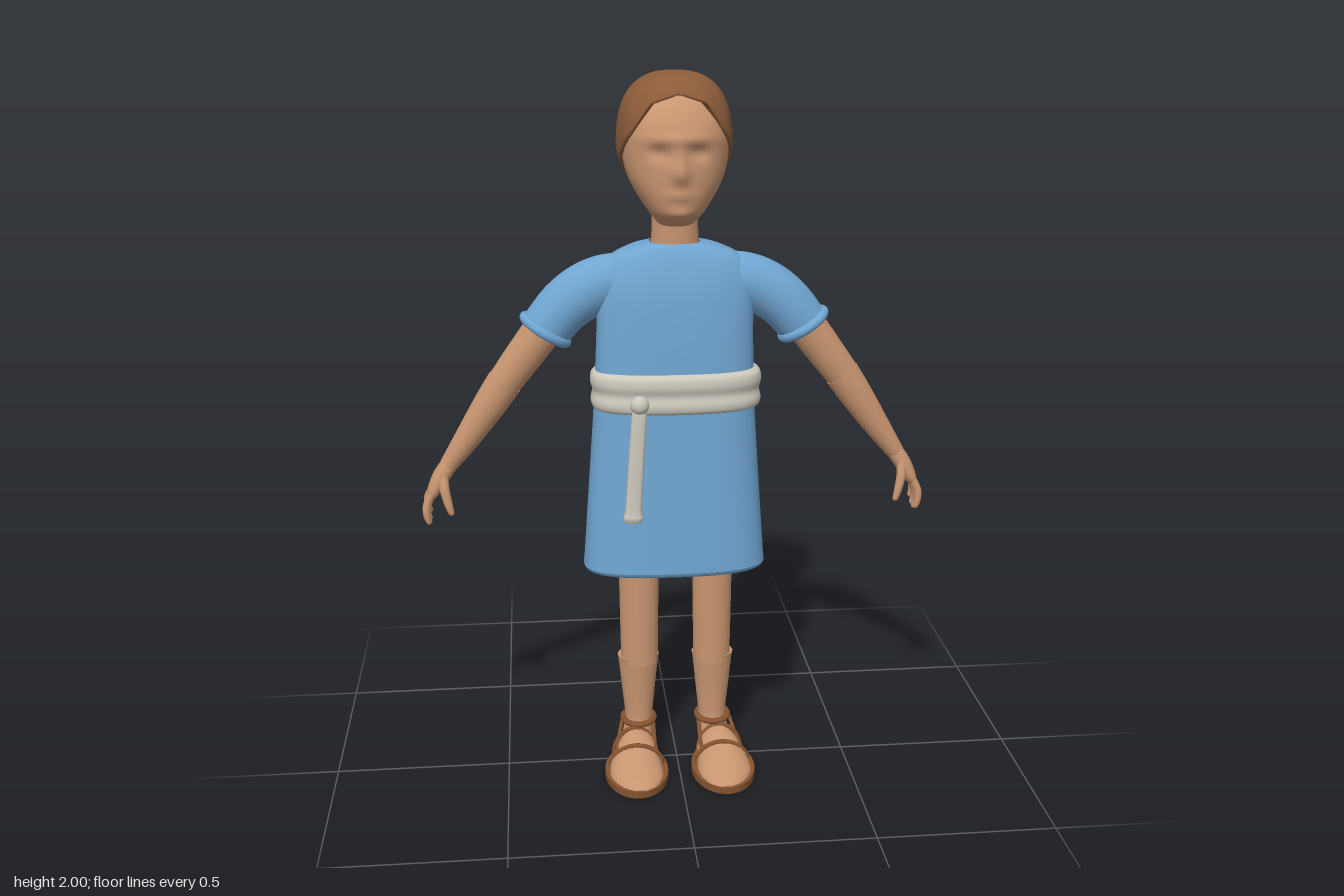
import * as THREE from 'three';

const mat = (name, color, side = THREE.FrontSide) => {
  const m = new THREE.MeshStandardMaterial({ color, side });
  m.name = name;
  return m;
};

// Smooth spline through rows of numbers
function spline(rows, steps) {
  const out = [];
  for (let i = 0; i < rows.length - 1; i++) {
    const [p, a, b, q] = [rows[Math.max(i - 1, 0)], rows[i], rows[i + 1], rows[Math.min(i + 2, rows.length - 1)]];
    for (let s = 0; s < steps; s++) {
      const t = s / steps;
      out.push(a.map((v, k) => v + 0.5 * t * (b[k] - p[k] + t * (2 * p[k] - 5 * v + 4 * b[k] - q[k]
        + t * (3 * (v - b[k]) + q[k] - p[k])))));
    }
  }
  out.push(rows[rows.length - 1]);
  return out;
}

const sup = (v, e) => Math.sign(v) * Math.abs(v) ** (2 / e);

// Loft through stations [x, y, z, radius across, radius along "axis"]
function loft(stations, { n = 24, steps = 4, exp = 2, axis = [0, 0, 1], caps = true, rule } = {}) {
  const rows = spline(stations, steps), pos = [], idx = [];
  const B = new THREE.Vector3(...axis), T = new THREE.Vector3(), N = new THREE.Vector3(), P = new THREE.Vector3();
  const centre = (i) => new THREE.Vector3(...rows[Math.min(Math.max(i, 0), rows.length - 1)].slice(0, 3));
  rows.forEach((r, i) => {
    T.subVectors(centre(i + 1), centre(i - 1));
    N.crossVectors(B, T).normalize();
    for (let j = 0; j < n; j++) {
      const a = (j / n) * Math.PI * 2;
      P.copy(centre(i)).addScaledVector(N, r[3] * sup(Math.cos(a), exp)).addScaledVector(B, r[4] * sup(Math.sin(a), exp));
      if (rule) rule(P);
      pos.push(P.x, P.y, P.z);
    }
  });
  for (let i = 0; i < rows.length - 1; i++) for (let j = 0; j < n; j++) {
    const a = i * n + j, b = i * n + (j + 1) % n;
    idx.push(a, b, a + n, b, b + n, a + n);
  }
  if (caps) for (const [i, flip] of [[0, true], [rows.length - 1, false]]) {
    const c = pos.length / 3;
    P.copy(centre(i));
    if (rule) rule(P);
    pos.push(P.x, P.y, P.z);
    for (let j = 0; j < n; j++) pos.push(...pos.slice((i * n + j) * 3, (i * n + j) * 3 + 3));
    for (let j = 0; j < n; j++) {
      const a = c + 1 + j, b = c + 1 + (j + 1) % n;
      idx.push(c, flip ? b : a, flip ? a : b);
    }
  }
  return finish(pos, idx);
}

function finish(pos, idx) {
  const g = new THREE.BufferGeometry();
  g.setAttribute('position', new THREE.Float32BufferAttribute(pos, 3));
  g.setIndex(idx);
  g.computeVertexNormals();
  return g;
}

// Hair cap running from the crown down to a hairline that drops toward the back
function hairGeometry() {
  const line = [[0, 1.945], [28, 1.922], [48, 1.85], [72, 1.79], [100, 1.735], [118, 1.67], [140, 1.65], [181, 1.645]];
  const lineY = (deg) => {
    const i = Math.max(1, line.findIndex((p) => p[0] >= deg));
    const [a, b] = [line[i - 1], line[i]];
    return THREE.MathUtils.lerp(a[1], b[1], (deg - a[0]) / (b[0] - a[0]));
  };
  const size = (y) => y > 1.8 ? Math.max(0, 1 - ((y - 1.8) / 0.2) ** 2.6) ** (1 / 2.6) : 1 - 0.39 * ((1.8 - y) / 0.15) ** 1.4;
  const n = 64, m = 18, pos = [], idx = [];
  for (let i = 0; i <= m + 2; i++) for (let j = 0; j < n; j++) {
    const a = (j / n) * Math.PI * 2, u = Math.min(i / m, 1);
    const low = lineY(180 - Math.abs(180 - (j / n) * 360));
    const y = 2 - (2 - low) * u ** 1.9;
    // the last two rows turn under the edge
    const k = size(y) * (1 + 0.008 * Math.cos(a * 12)) * (i > m ? 1 - 0.16 * (i - m) : 1);
    pos.push(0.156 * k * sup(Math.sin(a), 2.3), y + (i > m ? 0.006 * (i - m) : 0), -0.07 + 0.165 * k * sup(Math.cos(a), 2.3));
    if (i < m + 2) {
      const p = i * n + j, q = i * n + (j + 1) % n;
      idx.push(p, p + n, q, q, p + n, q + n);
    }
  }
  return finish(pos, idx);
}

export function createModel() {
  const model = new THREE.Group();
  const skin = mat('skin', 0xc89570), cloth = mat('blue cloth', 0x70a6d2, THREE.DoubleSide);
  const hair = mat('brown hair', 0x8c5c3a, THREE.DoubleSide), linen = mat('pale linen', 0xcbc7bb);
  const leather = mat('sandal leather', 0x85532f);
  const add = (name, geo, material, parent = model) => {
    const mesh = new THREE.Mesh(geo, material);
    mesh.name = name;
    parent.add(mesh);
    return mesh;
  };
  const bump = (x, y, cx, cy, w, h) => Math.exp(-(((x - cx) / w) ** 2) - ((y - cy) / h) ** 2);

  // Head with brow, eye sockets, nose, lips and chin shaped into the front
  add('head', loft([
    [0, 1.595, -0.045, 0.045, 0.05], [0, 1.625, -0.015, 0.066, 0.085], [0, 1.66, -0.022, 0.092, 0.112],
    [0, 1.72, -0.035, 0.126, 0.129], [0, 1.78, -0.045, 0.142, 0.139], [0, 1.84, -0.05, 0.144, 0.146],
    [0, 1.89, -0.058, 0.135, 0.135], [0, 1.935, -0.065, 0.1, 0.105], [0, 1.965, -0.07, 0.05, 0.05],
  ], {
    n: 64, steps: 6, exp: 2.15,
    rule: (p) => {
      if (p.z < 0.02) return;
      p.z += 0.02 * bump(p.x, p.y, 0, 1.745, 0.022, 0.028) + 0.012 * bump(p.x, p.y, 0, 1.785, 0.016, 0.035)
        + 0.007 * bump(p.x, p.y, 0, 1.69, 0.035, 0.012) + 0.007 * bump(p.x, p.y, 0, 1.64, 0.035, 0.015)
        + 0.007 * bump(p.x, p.y, 0, 1.835, 0.09, 0.014)
        - 0.014 * (bump(p.x, p.y, 0.052, 1.8, 0.028, 0.018) + bump(p.x, p.y, -0.052, 1.8, 0.028, 0.018));
    },
  }), skin);
  add('neck', loft([[0, 1.5, -0.053, 0.075, 0.06], [0, 1.56, -0.052, 0.065, 0.058], [0, 1.68, -0.05, 0.062, 0.06]]), skin);
  add('hair', hairGeometry(), hair);

  // Tunic body, open at the hem
  add('tunic', loft([
    [0, 1.548, -0.055, 0.07, 0.06], [0, 1.536, -0.055, 0.125, 0.07], [0, 1.5, -0.048, 0.188, 0.078],
    [0, 1.42, -0.038, 0.214, 0.088], [-0.002, 1.3, -0.034, 0.217, 0.095], [-0.003, 1.2, -0.033, 0.221, 0.099],
    [-0.004, 1.09, -0.035, 0.226, 0.106], [-0.005, 0.85, -0.034, 0.243, 0.115], [-0.005, 0.65, -0.033, 0.258, 0.122],
    [-0.005, 0.622, -0.033, 0.26, 0.122], [-0.005, 0.61, -0.033, 0.248, 0.112], [-0.005, 0.617, -0.033, 0.238, 0.104],
  ], { n: 48, exp: 2.7, caps: false }), cloth);

  // Sash with a doubled roll, knot and hanging end
  add('sash', loft([
    [0, 1.2, -0.03, 0.218, 0.1], [0, 1.19, -0.03, 0.235, 0.115], [0, 1.165, -0.03, 0.239, 0.119],
    [0, 1.14, -0.03, 0.233, 0.113], [0, 1.115, -0.03, 0.238, 0.119], [0, 1.095, -0.03, 0.233, 0.115],
    [0, 1.087, -0.03, 0.218, 0.1],
  ], { n: 48, exp: 2.6 }), linen);
  const knot = add('sashKnot', new THREE.SphereGeometry(0.026, 20, 14), linen);
  knot.position.set(-0.11, 1.125, 0.095);
  add('sashEnd', loft([
    [-0.11, 1.12, 0.094, 0.018, 0.012], [-0.113, 1.08, 0.097, 0.021, 0.014], [-0.122, 0.95, 0.1, 0.022, 0.015],
    [-0.13, 0.83, 0.104, 0.023, 0.015], [-0.131, 0.805, 0.104, 0.028, 0.018], [-0.131, 0.79, 0.104, 0.022, 0.013],
  ], { n: 16, exp: 3 }), linen);

  for (const s of [1, -1]) {
    const side = s > 0 ? 'left' : 'right';
    const flip = (rows) => rows.map(([x, ...rest]) => [x * s, ...rest]);

    // Sleeve and rolled cuff
    add(side + 'Sleeve', loft(flip([
      [0.1, 1.452, -0.05, 0.065, 0.06], [0.18, 1.44, -0.05, 0.076, 0.07], [0.245, 1.415, -0.05, 0.078, 0.072],
      [0.305, 1.372, -0.048, 0.075, 0.072], [0.358, 1.31, -0.045, 0.071, 0.068],
    ]), { caps: false }), cloth);
    const cuff = add(side + 'Cuff', new THREE.TorusGeometry(0.067, 0.014, 12, 32), cloth);
    cuff.position.set(0.358 * s, 1.31, -0.043);
    cuff.lookAt(cuff.position.x + 0.54 * s, 1.31 - 0.84, -0.043);

    // Arm and hand
    const arm = new THREE.Group();
    arm.name = side + 'Arm';
    model.add(arm);
    add('upperArm', loft(flip([
      [0.32, 1.37, -0.045, 0.055, 0.05], [0.4, 1.262, -0.046, 0.053, 0.046], [0.484, 1.15, -0.048, 0.047, 0.041],
    ])), skin, arm);
    add('forearm', loft(flip([
      [0.474, 1.163, -0.048, 0.05, 0.043], [0.52, 1.095, -0.049, 0.046, 0.041], [0.585, 1.0, -0.05, 0.036, 0.034],
      [0.642, 0.92, -0.053, 0.025, 0.028],
    ])), skin, arm);
    add('palm', loft(flip([
      [0.636, 0.928, -0.053, 0.024, 0.027], [0.662, 0.89, -0.054, 0.024, 0.036], [0.684, 0.85, -0.058, 0.019, 0.042],
      [0.692, 0.832, -0.06, 0.013, 0.038],
    ]), { n: 20, exp: 2.4 }), skin, arm);
    for (let f = 0; f < 4; f++) {
      const z = -0.029 - f * 0.02, d = [0.008, 0, 0.003, 0.018][f], out = -0.004 * (f - 1.5);
      add('finger', loft(flip([
        [0.686, 0.85, z, 0.011, 0.01], [0.703, 0.81 + d / 2, z + out / 2, 0.012, 0.011],
        [0.705, 0.775 + d, z + out, 0.01, 0.01], [0.699, 0.754 + d, z + out, 0.007, 0.007],
        [0.697, 0.75 + d, z + out, 0.002, 0.002],
      ]), { n: 10 }), skin, arm);
    }
    add('thumb', loft(flip([
      [0.655, 0.9, -0.034, 0.014, 0.014], [0.652, 0.862, -0.018, 0.014, 0.013], [0.643, 0.822, -0.01, 0.012, 0.011],
      [0.635, 0.793, -0.008, 0.008, 0.008], [0.634, 0.788, -0.008, 0.002, 0.002],
    ]), { n: 10 }), skin, arm);

    // Leg
    const leg = new THREE.Group();
    leg.name = side + 'Leg';
    model.add(leg);
    add('thigh', loft(flip([[0.106, 0.95, -0.04, 0.06, 0.052], [0.107, 0.6, -0.038, 0.058, 0.049], [0.107, 0.3, -0.038, 0.054, 0.047]])), skin, leg);
    add('calf', loft(flip([
      [0.11, 0.32, -0.046, 0.061, 0.054], [0.11, 0.3, -0.047, 0.058, 0.052], [0.11, 0.22, -0.047, 0.05, 0.045],
      [0.11, 0.13, -0.045, 0.041, 0.04], [0.112, 0.09, -0.042, 0.042, 0.044], [0.116, 0.05, -0.026, 0.046, 0.044],
      [0.118, 0.018, -0.002, 0.042, 0.035],
    ])), skin, leg);

    // Foot, flattened where it rests on the sole
    add('foot', loft(flip([
      [0.116, 0.015, -0.04, 0.03, 0.025], [0.118, 0.015, -0.025, 0.075, 0.048], [0.122, 0.015, 0.02, 0.088, 0.064],
      [0.128, 0.015, 0.08, 0.062, 0.076], [0.128, 0.015, 0.15, 0.038, 0.076], [0.124, 0.015, 0.205, 0.021, 0.05],
      [0.122, 0.015, 0.229, 0.008, 0.018],
    ]), { axis: [1, 0, 0], rule: (p) => { p.y = Math.max(p.y, 0.012); } }), skin, leg);

    // Sandal sole, straps and ankle ring
    const sole = add('sandalSole', new THREE.CylinderGeometry(1, 1, 0.02, 40), leather, leg);
    sole.scale.set(0.092, 1, 0.137);
    sole.position.set(0.127 * s, 0.01, 0.099);
    const strap = (name, pts, r = 0.007) => add(name, new THREE.TubeGeometry(
      new THREE.CatmullRomCurve3(pts.map(([x, y, z]) => new THREE.Vector3(x * s, y, z))), 24, r, 8), leather, leg);
    for (const [z, w, h] of [[0.075, 0.077, 0.066], [0.012, 0.064, 0.09]]) {
      strap('footStrap', Array.from({ length: 9 }, (_, i) => {
        const a = (i / 8) * Math.PI;
        return [0.126 + w * Math.cos(a), 0.014 + h * Math.sin(a), z];
      }));
    }
    for (const k of [1, -1]) {
      strap('sideStrap', [[0.126 + k * 0.058, 0.06, 0.075], [0.122 + k * 0.054, 0.068, 0.02], [0.114 + k * 0.046, 0.11, -0.035]], 0.006);
    }
    const ring = add('ankleStrap', new THREE.TorusGeometry(0.046, 0.009, 10, 32), leather, leg);
    ring.rotation.x = Math.PI / 2;
    ring.scale.y = 1.12;
    ring.position.set(0.111 * s, 0.113, -0.042);
  }
  return model;
}
